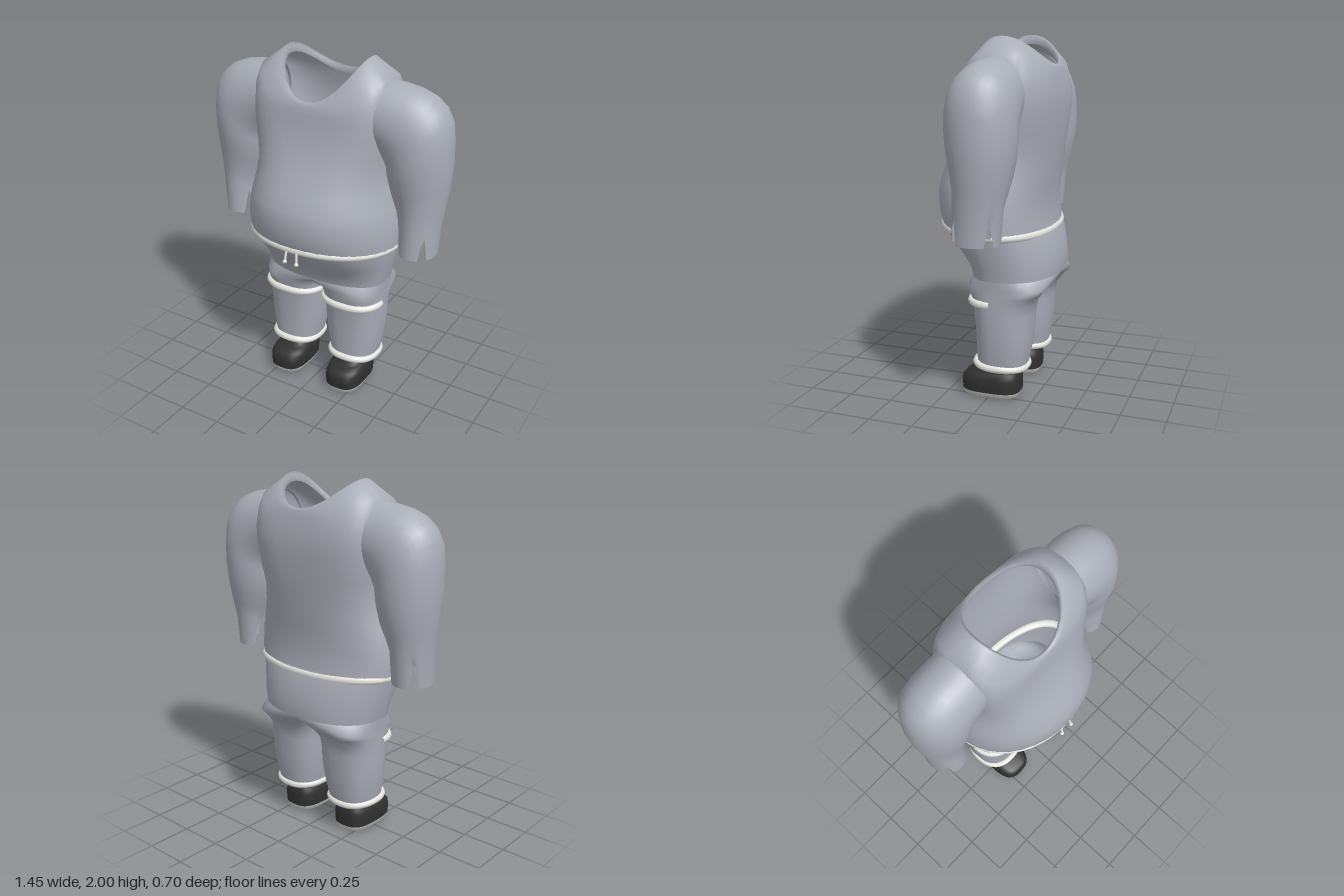
import * as THREE from 'three';

const N = 40;
const mat = (name, color) => {
  const m = new THREE.MeshStandardMaterial({ color, side: THREE.DoubleSide });
  m.name = name;
  return m;
};

// Closed superellipse ring, widest at z = cz; y may differ at the sides, front and back
function ring(x0, x1, zb, zf, y, n = 2.3, yF = y, yB = y, cz = (zb + zf) / 2) {
  const pts = [], cx = (x0 + x1) / 2;
  const pw = v => Math.sign(v) * Math.abs(v) ** (2 / n);
  for (let j = 0; j < N; j++) {
    const a = j / N * Math.PI * 2, s = Math.sin(a);
    pts.push(new THREE.Vector3(cx + pw(Math.cos(a)) * (x1 - x0) / 2,
      y + ((s > 0 ? yF : yB) - y) * s * s, cz + pw(s) * (s > 0 ? zf - cz : cz - zb)));
  }
  return pts;
}
// Body ring, symmetric in x
const sym = (w, zb, zf, y, n, yF, yB) => ring(-w, w, zb, zf, y, n, yF, yB, -.07);

// Skin over rings listed from bottom to top; side = -1 mirrors in x
function loft(rings, side = 1) {
  const pos = [], idx = [];
  for (const r of rings) for (const p of r) pos.push(p.x * side, p.y, p.z);
  for (let i = 0; i < rings.length - 1; i++) for (let j = 0; j < N; j++) {
    const a = i * N + j, b = i * N + (j + 1) % N, c = a + N, d = b + N;
    if (side > 0) idx.push(a, c, b, b, c, d);
    else idx.push(a, b, c, b, d, c);
  }
  const g = new THREE.BufferGeometry();
  g.setAttribute('position', new THREE.Float32BufferAttribute(pos, 3));
  g.setIndex(idx);
  g.computeVertexNormals();
  return g;
}

// Round piping along a ring
const piping = (pts, r, closed = true) => new THREE.TubeGeometry(
  new THREE.CatmullRomCurve3(pts, closed), 64, r, 8, closed);

export function createModel() {
  const model = new THREE.Group();
  model.name = 'outfit';
  const cloth = mat('grey cloth', 0xaaaeb8);
  const trim = mat('off-white trim', 0xfafaf4);
  const rubber = mat('pale sole', 0xd2d2ce);
  const dark = mat('black shoe', 0x303030);
  const add = (name, geo, m) => {
    const mesh = new THREE.Mesh(geo, m);
    mesh.name = name;
    model.add(mesh);
    return mesh;
  };

  // Shirt body, rising over the shoulders to the open neck
  add('shirtBody', loft([
    sym(.455, -.30, .33, .975, 2.1, 1.0, .96),
    sym(.458, -.29, .345, 1.04, 2.1),
    sym(.453, -.29, .353, 1.1, 2.1),
    sym(.445, -.293, .355, 1.16, 2.1),
    sym(.43, -.30, .345, 1.22, 2.1),
    sym(.405, -.31, .312, 1.3, 2.2),
    sym(.385, -.32, .262, 1.4, 2.4),
    sym(.395, -.33, .222, 1.5, 2.7),
    sym(.405, -.335, .195, 1.62, 3.1, 1.6, 1.62),
    sym(.402, -.333, .185, 1.74, 3.4, 1.66, 1.7),
    sym(.392, -.32, .18, 1.84, 3.3, 1.71, 1.76),
    sym(.373, -.315, .175, 1.91, 2.9, 1.74, 1.80),
    sym(.31, -.305, .17, 1.957, 2.4, 1.76, 1.83),
    sym(.252, -.30, .16, 2.0, 2.1, 1.775, 1.85),
    sym(.235, -.285, .147, 1.985, 2.1, 1.765, 1.84),
    sym(.238, -.29, .15, 1.95, 2.1, 1.74, 1.81),
  ]), cloth);

  // Hips, ending on the seam that both legs share
  const hipSeam = sym(.379, -.343, .128, .71, 2.4);
  add('trouserHips', loft([
    hipSeam,
    sym(.392, -.35, .15, .77, 2.3),
    sym(.408, -.34, .215, .84, 2.2),
    sym(.42, -.325, .285, .92, 2.2),
    sym(.425, -.30, .315, .98, 2.2),
  ]), cloth);
  // Half of the seam, closed by the sagging crotch line
  const legTop = hipSeam.map((p, j) => {
    const c = Math.cos(j / N * Math.PI * 2);
    return c >= 0 ? p : new THREE.Vector3(0, p.y + .07 * c, p.z);
  });

  // Waistband and drawstrings
  add('waistband', piping(sym(.435, -.29, .313, .966, 2.1, .986, .955), .024), trim);
  for (const x of [-.03, .035]) {
    const top = new THREE.Vector3(x, .98, .33), end = new THREE.Vector3(x * 1.15, .915, .342);
    add('drawstring', new THREE.TubeGeometry(new THREE.LineCurve3(top, end), 2, .007, 8), trim);
    const tip = add('drawstringTip', new THREE.SphereGeometry(.012, 10, 8), trim);
    tip.position.copy(end);
  }

  // Sleeve sections: outer x, outer y, inner x, inner y, back z, front z
  const sleeveSections = [
    [.69, 1.14, .46, 1.15, -.195, .07],
    [.705, 1.25, .44, 1.21, -.215, .07],
    [.72, 1.38, .41, 1.28, -.24, .085],
    [.726, 1.5, .395, 1.34, -.255, .105],
    [.723, 1.62, .385, 1.38, -.26, .115],
    [.71, 1.72, .38, 1.41, -.26, .118],
    [.672, 1.795, .38, 1.43, -.258, .118],
    [.61, 1.845, .375, 1.45, -.255, .118],
    [.53, 1.875, .37, 1.47, -.25, .115],
    [.44, 1.89, .365, 1.49, -.245, .112],
    [.355, 1.897, .355, 1.51, -.24, .108],
  ];
  const sleeveRing = ([xo, yo, xi, yi, zb, zf]) => Array.from({ length: N }, (_, j) => {
    const a = j / N * Math.PI * 2, t = (1 + Math.cos(a)) / 2;
    return new THREE.Vector3(xi + (xo - xi) * t, yi + (yo - yi) * t,
      (zb + zf) / 2 + Math.sin(a) * (zf - zb) / 2);
  });
  // Ragged cuff: notches between long teeth
  const cuff = sleeveRing([.682, .97, .466, .97, -.18, .075]);
  for (const [j, y] of [[5, 1.1], [6, 1.06], [15, 1.06], [16, 1.13], [17, 1.11]])
    cuff[j].y = cuff[N - j].y = y;

  for (const side of [1, -1]) {
    const tag = side > 0 ? 'left' : 'right';
    const flip = pts => pts.map(p => new THREE.Vector3(p.x * side, p.y, p.z));

    add(tag + 'Sleeve', loft([cuff, ...sleeveSections.map(sleeveRing)], side), cloth);

    // Trouser leg, open at the ankle
    add(tag + 'TrouserLeg', loft([
      ring(.06, .333, -.20, .072, .175, 2.4),
      ring(.05, .342, -.21, .076, .23, 2.4),
      ring(.035, .355, -.222, .078, .3, 2.4),
      ring(.02, .365, -.235, .082, .4, 2.4),
      ring(.014, .37, -.24, .09, .5, 2.4),
      ring(.011, .371, -.25, .1, .565, 2.5),
      ring(.004, .372, -.285, .111, .615, 2.7),
      ring(0, .374, -.33, .12, .66, 2.9),
      legTop,
    ], side), cloth);

    // Piping: front half at the knee, full loop at the ankle
    const knee = ring(.02, .362, -.19, .105, .572, 2.4).slice(0, N / 2 + 1);
    add(tag + 'KneeTrim', piping(flip(knee), .022, false), trim);
    add(tag + 'AnkleTrim', piping(flip(ring(.06, .336, -.2, .082, .2, 2.4, .208, .19)), .02), trim);

    // Shoe: pale sole, dark upper with open collar, pale insole
    add(tag + 'Sole', loft([
      ring(.195, .195, 0, 0, 0, 3),
      ring(.11, .28, -.145, .145, 0, 3),
      ring(.093, .297, -.162, .162, .012, 3),
      ring(.086, .304, -.168, .168, .035, 3),
    ], side), rubber);
    add(tag + 'ShoeUpper', loft([
      ring(.086, .304, -.168, .168, .035, 3),
      ring(.083, .307, -.17, .172, .075, 3),
      ring(.085, .305, -.17, .168, .11, 3),
      ring(.09, .3, -.167, .15, .132, 2.8),
      ring(.1, .29, -.163, .1, .146, 2.6),
      ring(.105, .285, -.16, .05, .155, 2.5),
      ring(.104, .284, -.16, .045, .2, 2.5),
      ring(.104, .284, -.16, .045, .235, 2.5),
    ], side), dark);
    const insole = add(tag + 'Insole', new THREE.CircleGeometry(1, 32), trim);
    insole.rotation.x = -Math.PI / 2;
    insole.scale.set(.087, .098, 1);
    insole.position.set(.194 * side, .15, -.057);
  }
  return model;
}
